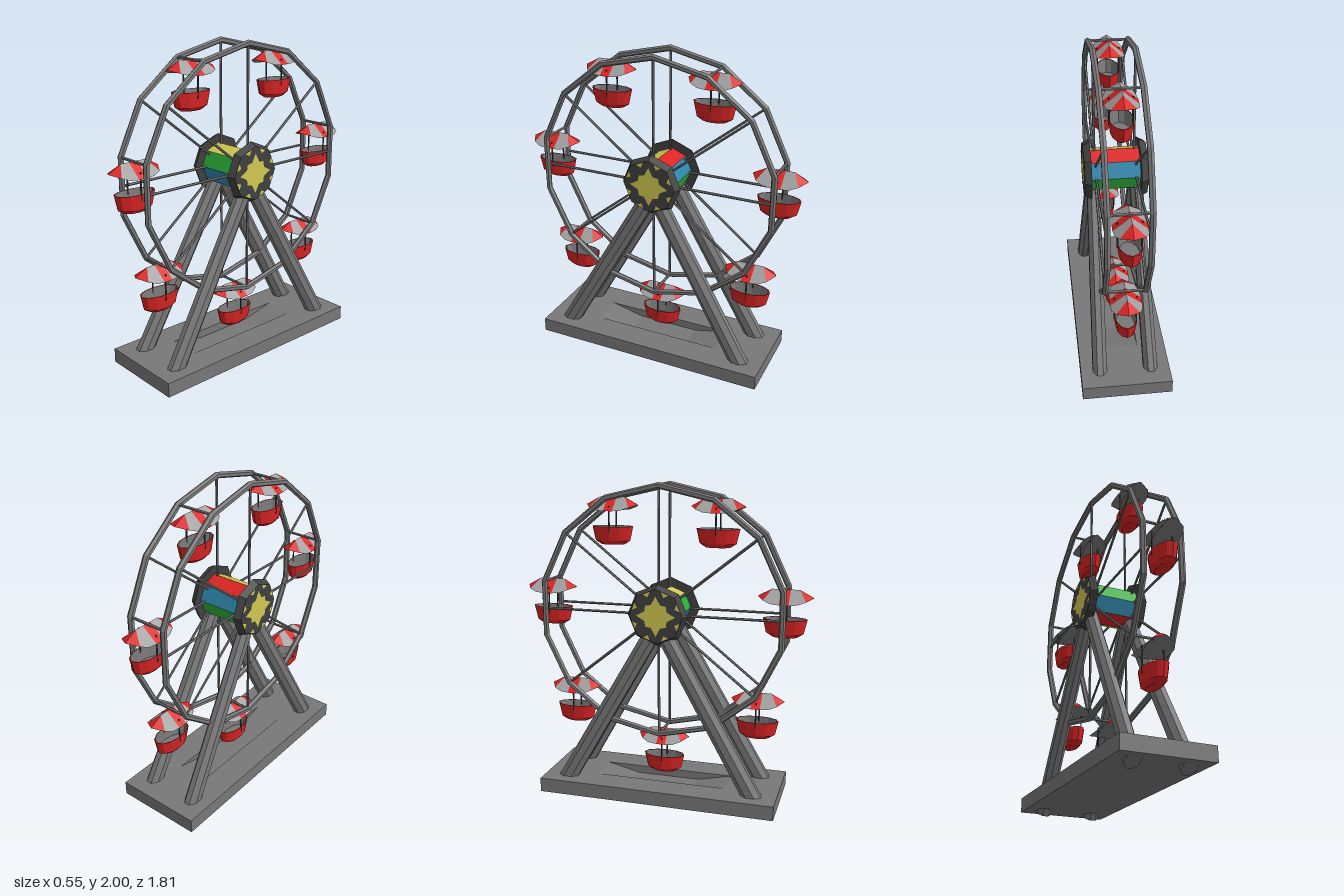
import * as THREE from 'three';

const mat = (name, color) => Object.assign(new THREE.MeshStandardMaterial({ color }), { name });
const steel = mat('steel grey', 0x787878);
const pale = mat('pale grey', 0xa2a2a2);
const dark = mat('dark grey', 0x404040);
const red = mat('red', 0xdc2424);
const yellow = mat('yellow', 0xd2c850);
const green = mat('green', 0x2eb23a);
const blue = mat('blue', 0x2f88ae);

const HUB_Y = 1.22, RIM_R = 0.76, RIM_X = 0.12, SIDES = 14;

// Faceted mesh with one normal per face
function part(parent, name, geometry, material) {
  const g = geometry.index ? geometry.toNonIndexed() : geometry;
  g.computeVertexNormals();
  const mesh = new THREE.Mesh(g, material);
  mesh.name = name;
  parent.add(mesh);
  return mesh;
}

function group(parent, name) {
  const g = new THREE.Group();
  g.name = name;
  parent.add(g);
  return g;
}

// Straight bar between two points
function bar(parent, name, a, b, r0, r1, sides, material) {
  const from = new THREE.Vector3(...a), to = new THREE.Vector3(...b);
  const dir = to.clone().sub(from);
  const geo = new THREE.CylinderGeometry(r1, r0, dir.length(), sides);
  geo.rotateY(Math.PI / sides);
  const mesh = part(parent, name, geo, material);
  mesh.position.copy(from).add(to).multiplyScalar(0.5);
  mesh.quaternion.setFromUnitVectors(new THREE.Vector3(0, 1, 0), dir.normalize());
  return mesh;
}

function triangles(list) {
  const g = new THREE.BufferGeometry();
  g.setAttribute('position', new THREE.Float32BufferAttribute(list.flat(2), 3));
  return g;
}

// Striped canopy: one quarter mirrored to all four
function addCanopy(parent) {
  const A = [0, -0.045, 0.165], B = [0.07, -0.06, 0.125], C = [0.09, -0.076, 0.078];
  const D = [0.095, -0.08, 0.028], E = [0, 0, 0.082], F = [0, 0, 0.028];
  const G = [0, 0, 0], H = [0.095, -0.08, 0];
  const redTris = [[E, A, B], [F, D, H], [F, H, G]];
  const paleTris = [[E, B, C], [E, C, D], [E, D, F]];
  const mirror = (tris, drop = 0) => {
    const out = [];
    for (const sx of [1, -1]) for (const sz of [1, -1]) for (const t of tris) {
      const q = t.map(([x, y, z]) => [x * sx, y - drop, z * sz]);
      if ((sx * sz < 0) !== (drop > 0)) q.reverse();
      out.push(q);
    }
    return triangles(out);
  };
  part(parent, 'canopyRed', mirror(redTris), red);
  part(parent, 'canopyPale', mirror(paleTris), pale);
  part(parent, 'canopyUnderside', mirror([...redTris, ...paleTris], 0.004), steel);
}

// Hanging cabin, origin on its axle
function addCabin(parent, y, z) {
  const cabin = group(parent, 'cabin');
  cabin.position.set(0, y, z);
  bar(cabin, 'axle', [-RIM_X, 0, 0], [RIM_X, 0, 0], 0.009, 0.009, 6, steel);
  addCanopy(cabin);
  for (const s of [1, -1]) {
    bar(cabin, 'hanger', [s * 0.065, -0.21, 0], [s * 0.065, -0.05, 0], 0.005, 0.005, 6, dark);
  }
  const lathe = pts => new THREE.LatheGeometry(pts.map(p => new THREE.Vector2(...p)), 12);
  const outer = lathe([[0, -0.285], [0.075, -0.285], [0.112, -0.262], [0.132, -0.175], [0.124, -0.175]]);
  const inner = lathe([[0.124, -0.175], [0.105, -0.255], [0, -0.255]]);
  for (const [name, geo, m] of [['tub', outer, red], ['tubInside', inner, steel]]) {
    geo.scale(0.53, 1, 1);
    part(cabin, name, geo, m);
  }
}

function addBase(parent) {
  const base = group(parent, 'base');
  for (const s of [1, -1]) {
    const rail = part(base, 'baseSide', new THREE.BoxGeometry(0.175, 0.09, 1.5), steel);
    rail.position.set(s * 0.1875, 0.09, 0);
  }
  // middle strip with a shallow pit below the wheel
  const profile = [[-0.75, 0.045], [0.75, 0.045], [0.75, 0.135], [0.42, 0.135],
    [0.2, 0.085], [-0.2, 0.085], [-0.42, 0.135], [-0.75, 0.135]];
  const geo = new THREE.ExtrudeGeometry(new THREE.Shape(profile.map(p => new THREE.Vector2(...p))),
    { depth: 0.2, bevelEnabled: false });
  geo.translate(0, 0, -0.1).rotateY(Math.PI / 2);
  part(base, 'baseMiddle', geo, steel);
}

function addLegs(parent) {
  for (const sx of [1, -1]) for (const sz of [1, -1]) {
    const leg = bar(parent, 'leg', [sx * 0.16, 0.03, sz * 0.655], [sx * 0.13, 1.17, 0],
      0.059, 0.053, 8, steel);
    leg.scale.x = 0.8;
  }
}

function addWheel(parent, x) {
  const wheel = group(parent, 'wheel');
  wheel.position.set(x, HUB_Y, 0);
  const rim = new THREE.TorusGeometry(RIM_R, 0.019, 6, SIDES);
  rim.rotateZ(Math.PI / 2).rotateY(Math.PI / 2);
  part(wheel, 'rim', rim, steel);
  const d = Math.PI * 3 / 14;
  for (const a of [0, d, Math.PI / 2, Math.PI - d, Math.PI, Math.PI + d, -Math.PI / 2, -d]) {
    const r = Math.abs(Math.sin(a)) < 0.01 ? 0.74 : RIM_R;
    bar(wheel, 'spoke', [0, 0, 0], [0, r * Math.sin(a), r * Math.cos(a)], 0.008, 0.008, 6, steel);
  }
}

// Eight-sided drum, one colour per side
function addDrum(parent) {
  const drum = group(parent, 'drum');
  drum.position.y = HUB_Y;
  const colours = [yellow, green, blue, red], names = ['Yellow', 'Green', 'Blue', 'Red'];
  const at = (i, x) => {
    const a = i * Math.PI / 4;
    return [x, 0.13 * Math.cos(a), 0.13 * Math.sin(a)];
  };
  for (let i = 0; i < 8; i++) {
    const a = at(i, -0.152), b = at(i + 1, -0.152), c = at(i + 1, 0.152), e = at(i, 0.152);
    part(drum, 'drumSide' + names[i % 4], triangles([[a, b, c], [a, c, e]]), colours[i % 4]);
  }
}

// Bevelled end plate with a painted star and small triangles
function addHubPlate(parent, s) {
  const plate = group(parent, 'hubPlate');
  plate.position.y = HUB_Y;
  const disc = new THREE.CylinderGeometry(0.165, 0.188, 0.042, 8);
  disc.rotateZ(-s * Math.PI / 2).translate(s * 0.168, 0, 0);
  part(plate, 'hubDisc', disc, dark);
  const polar = (r, a) => new THREE.Vector2(r * Math.cos(a), r * Math.sin(a));
  const star = [];
  for (let i = 0; i < 16; i++) {
    star.push(polar(i % 2 ? 0.075 : i % 4 ? 0.09 : 0.122, i * Math.PI / 8));
  }
  const shapes = [new THREE.Shape(star)];
  for (let i = 0; i < 8; i++) {
    const a = (i + 0.5) * Math.PI / 4;
    shapes.push(new THREE.Shape([polar(0.125, a), polar(0.153, a - 0.16), polar(0.153, a + 0.16)]));
  }
  const paint = new THREE.ShapeGeometry(shapes);
  paint.rotateY(s * Math.PI / 2).translate(s * 0.1915, 0, 0);
  part(plate, 'hubStar', paint, yellow);
}

export function createModel() {
  const model = new THREE.Group();
  model.name = 'ferrisWheel';
  addBase(model);
  addLegs(model);
  addDrum(model);
  for (const s of [1, -1]) {
    addWheel(model, s * RIM_X);
    addHubPlate(model, s);
  }
  // cabins on every second corner of the rim, starting at the bottom
  for (let i = 0; i < SIDES; i += 2) {
    const a = -Math.PI / 2 + i * 2 * Math.PI / SIDES;
    addCabin(model, HUB_Y + RIM_R * Math.sin(a), RIM_R * Math.cos(a));
  }
  return model;
}
